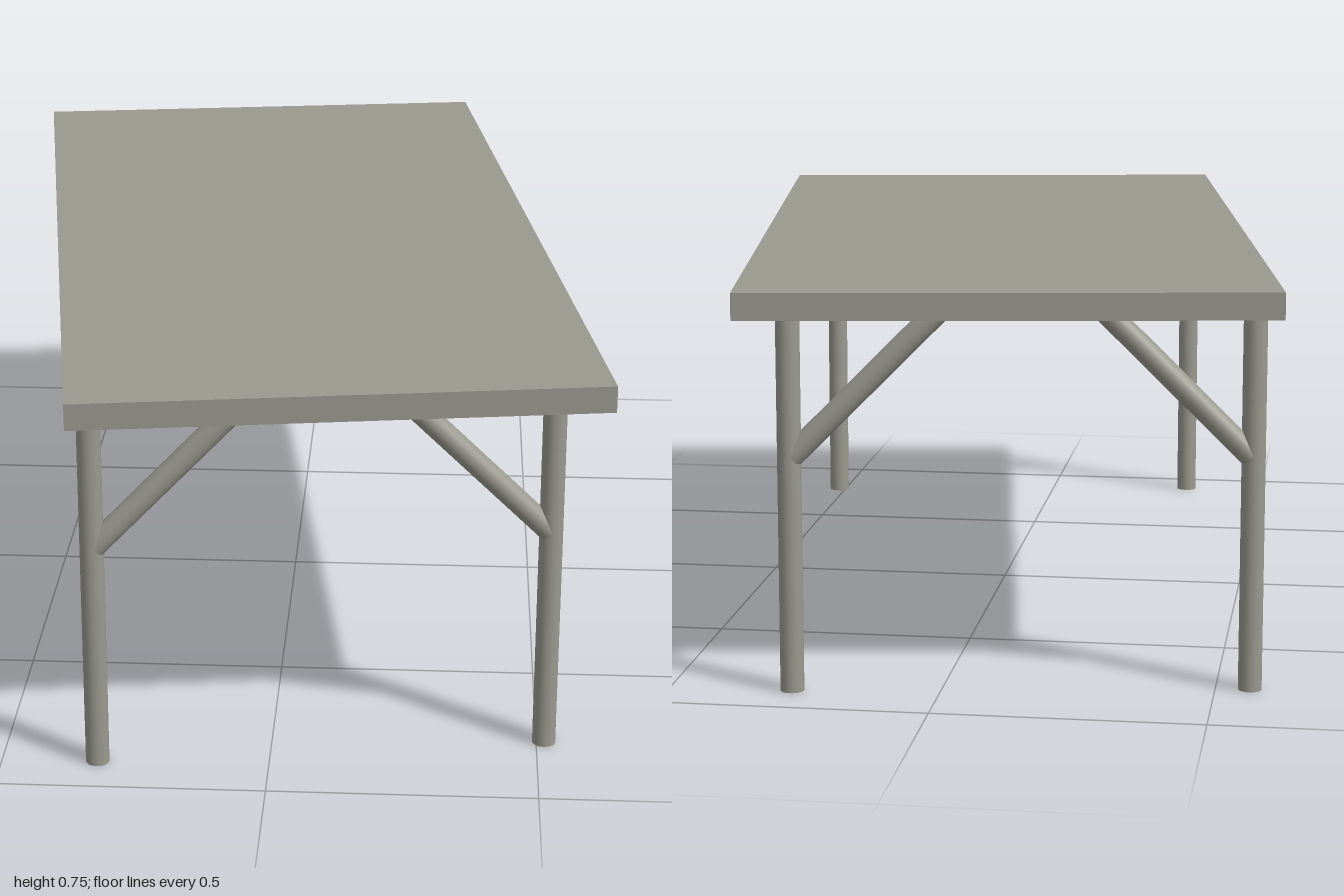
import * as THREE from 'three';

const RADIUS = 0.022;
const UNDERSIDE = 0.705;

// Round bar running between two points
function bar(name, from, to, material) {
  const dir = to.clone().sub(from);
  const mesh = new THREE.Mesh(new THREE.CylinderGeometry(RADIUS, RADIUS, dir.length(), 24), material);
  mesh.position.copy(from).add(to).multiplyScalar(0.5);
  mesh.quaternion.setFromUnitVectors(new THREE.Vector3(0, 1, 0), dir.normalize());
  mesh.name = name;
  return mesh;
}

export function createModel() {
  const grey = new THREE.MeshStandardMaterial({ color: 0x9a998f });
  grey.name = 'warm grey';

  const table = new THREE.Group();
  table.name = 'table';
  table.rotation.y = 0.144; // the table stands slightly turned

  // Table top
  const top = new THREE.Mesh(new THREE.BoxGeometry(0.98, 0.05, 1.88), grey);
  top.name = 'tableTop';
  top.position.y = UNDERSIDE + 0.025;
  table.add(top);

  // Legs, each with a 45 degree brace leaning inward across the width
  const supports = new THREE.Group();
  supports.name = 'supports';
  supports.position.set(-0.025, 0, 0.002);
  for (const sz of [1, -1]) {
    for (const sx of [1, -1]) {
      const name = (sz > 0 ? 'front' : 'back') + (sx > 0 ? 'Left' : 'Right');
      const x = sx * 0.422;
      const z = sz * 0.845;
      supports.add(bar(name + 'Leg', new THREE.Vector3(x, 0, z), new THREE.Vector3(x, UNDERSIDE + 0.01, z), grey));
      const low = 0.44, high = UNDERSIDE + 0.022;
      supports.add(bar(
        name + 'Brace',
        new THREE.Vector3(x - sx * 0.004, low, z),
        new THREE.Vector3(x - sx * (0.004 + high - low), high, z),
        grey
      ));
    }
  }
  table.add(supports);

  const model = new THREE.Group();
  model.name = 'model';
  model.add(table);
  return model;
}
